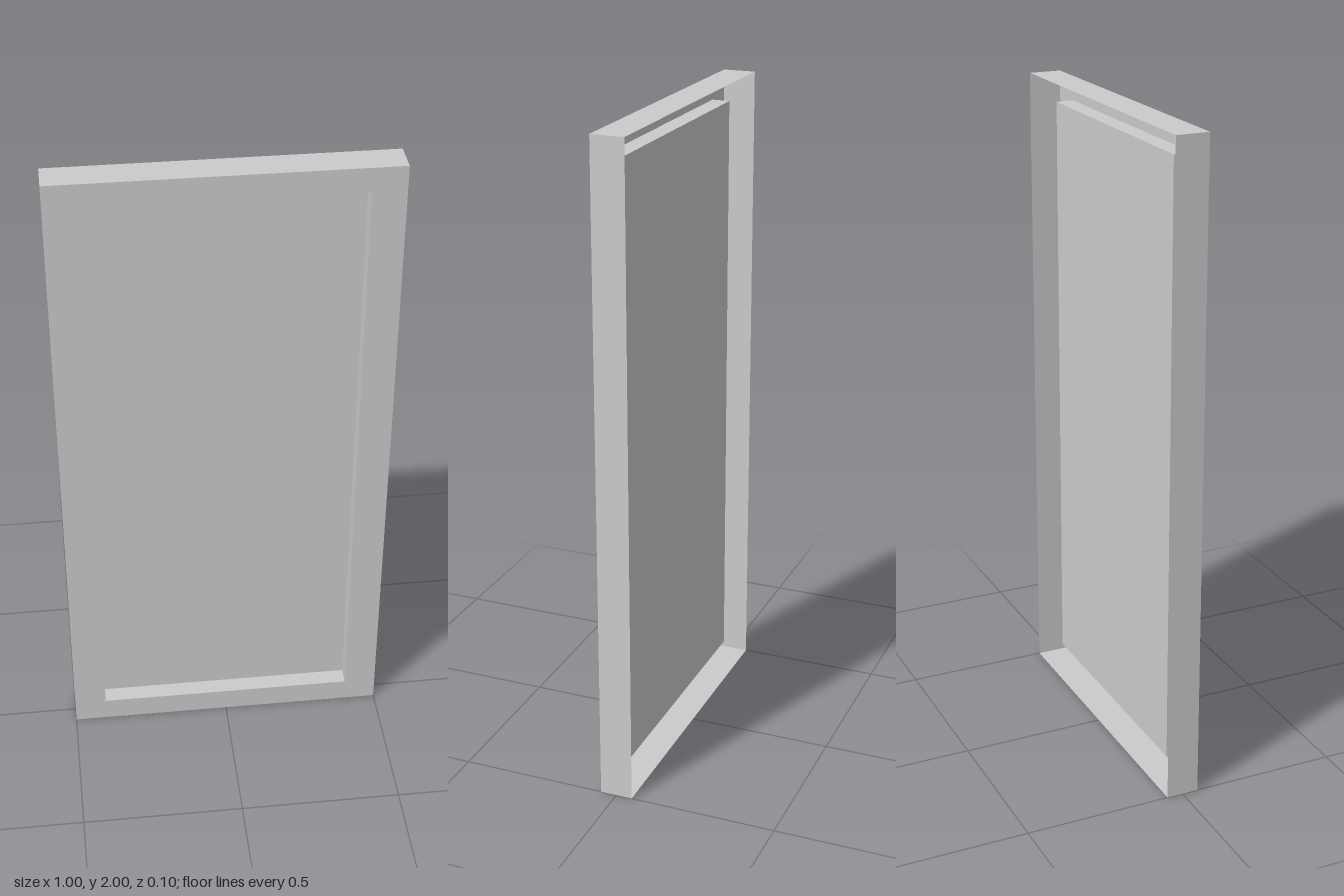
import * as THREE from 'three';

const material = new THREE.MeshStandardMaterial({
  color: 0xcccccc, flatShading: true, side: THREE.DoubleSide,
});

// Rectangular loop of four corners, counter-clockwise seen from the front
const loop = (halfW, y0, y1, z) => [
  [-halfW, y0, z], [halfW, y0, z], [halfW, y1, z], [-halfW, y1, z],
];

// Four-sided band of quads joining two loops
function band(name, a, b) {
  const points = [];
  for (let i = 0; i < 4; i++) {
    const j = (i + 1) % 4;
    points.push(a[i], a[j], b[j], a[i], b[j], b[i]);
  }
  const geometry = new THREE.BufferGeometry();
  geometry.setAttribute('position', new THREE.Float32BufferAttribute(points.flat(), 3));
  geometry.computeVertexNormals();
  const mesh = new THREE.Mesh(geometry, material);
  mesh.name = name;
  return mesh;
}

export function createModel() {
  const group = new THREE.Group();
  group.name = 'recessedPanel';

  const depth = 0.05, recessZ = -0.005;
  const backEdge = loop(0.5, 0, 2, -depth);
  const frontEdge = loop(0.5, 0, 2, depth);
  const opening = loop(0.4, 0.075, 1.925, depth);
  const recessEdge = loop(0.4, 0.075, 1.925, recessZ);

  // Thin shell, open at the back
  group.add(
    band('outerWalls', backEdge, frontEdge),
    band('frontFrame', frontEdge, opening),
    band('recessWalls', opening, recessEdge),
  );

  // Sunken centre panel
  const panel = new THREE.Mesh(new THREE.PlaneGeometry(0.8, 1.85), material);
  panel.name = 'centrePanel';
  panel.position.set(0, 1, recessZ);
  group.add(panel);

  return group;
}
